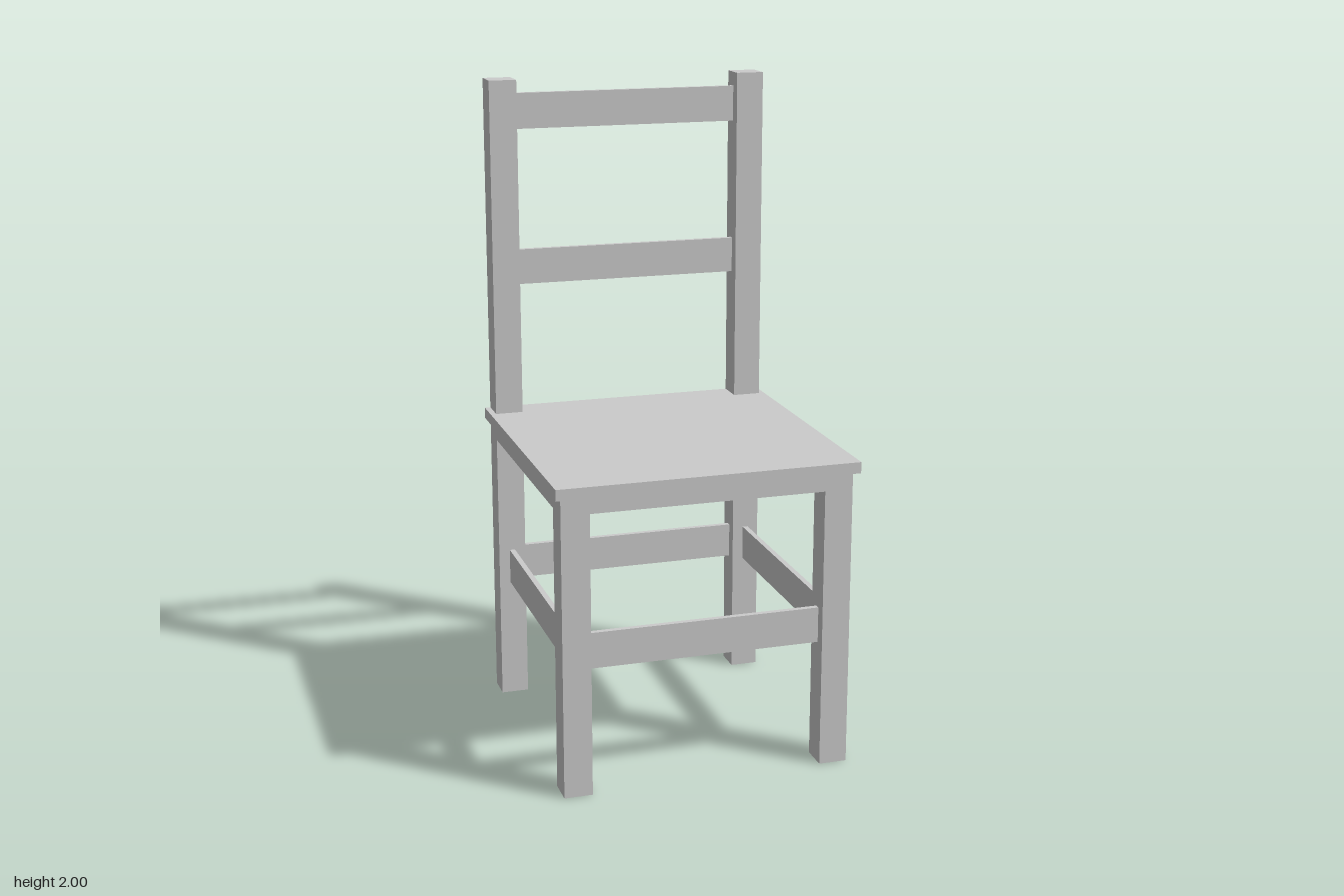
import * as THREE from 'three';

export function createModel() {
  const chair = new THREE.Group();
  chair.name = 'chair';
  const material = new THREE.MeshStandardMaterial({ color: 0xcccccc, flatShading: true });

  // Box given by its size, centre in x and z, and bottom height
  const board = (name, w, h, d, x, bottom, z) => {
    const mesh = new THREE.Mesh(new THREE.BoxGeometry(w, h, d), material);
    mesh.name = name;
    mesh.position.set(x, bottom + h / 2, z);
    chair.add(mesh);
  };

  const post = 0.086, thick = 0.017, railHeight = 0.11;
  const legX = 0.399, frontZ = 0.399, backZ = -0.417;
  const slatZ = -0.419, stretcherBottom = 0.383;
  const frameBottom = 0.866, seatBottom = 0.918;
  const innerWidth = 2 * legX - post;
  const innerDepth = frontZ - backZ - post;
  const frameSize = 2 * legX + post;

  // Seat on a solid frame that is flush with the legs
  board('seat', 0.92, 0.034, 0.92, 0, seatBottom, 0);
  board('seatFrame', frameSize, seatBottom - frameBottom, frameSize, 0, frameBottom, 0);

  // Front legs, and back legs that run up as posts
  for (const [side, x] of [['left', legX], ['right', -legX]]) {
    board(`${side}FrontLeg`, post, frameBottom, post, x, 0, frontZ);
    board(`${side}BackPost`, post, 2, post, x, 0, backZ);
    board(`${side}Stretcher`, thick, railHeight, innerDepth, x, stretcherBottom, (frontZ + backZ) / 2);
  }

  // Rails across the width: stretchers and backrest slats
  for (const [name, bottom, z] of [
    ['frontStretcher', stretcherBottom, frontZ],
    ['backStretcher', stretcherBottom, slatZ],
    ['lowerBackSlat', 1.359, slatZ],
    ['upperBackSlat', 1.846, slatZ],
  ]) {
    board(name, innerWidth, railHeight, thick, 0, bottom, z);
  }

  return chair;
}
